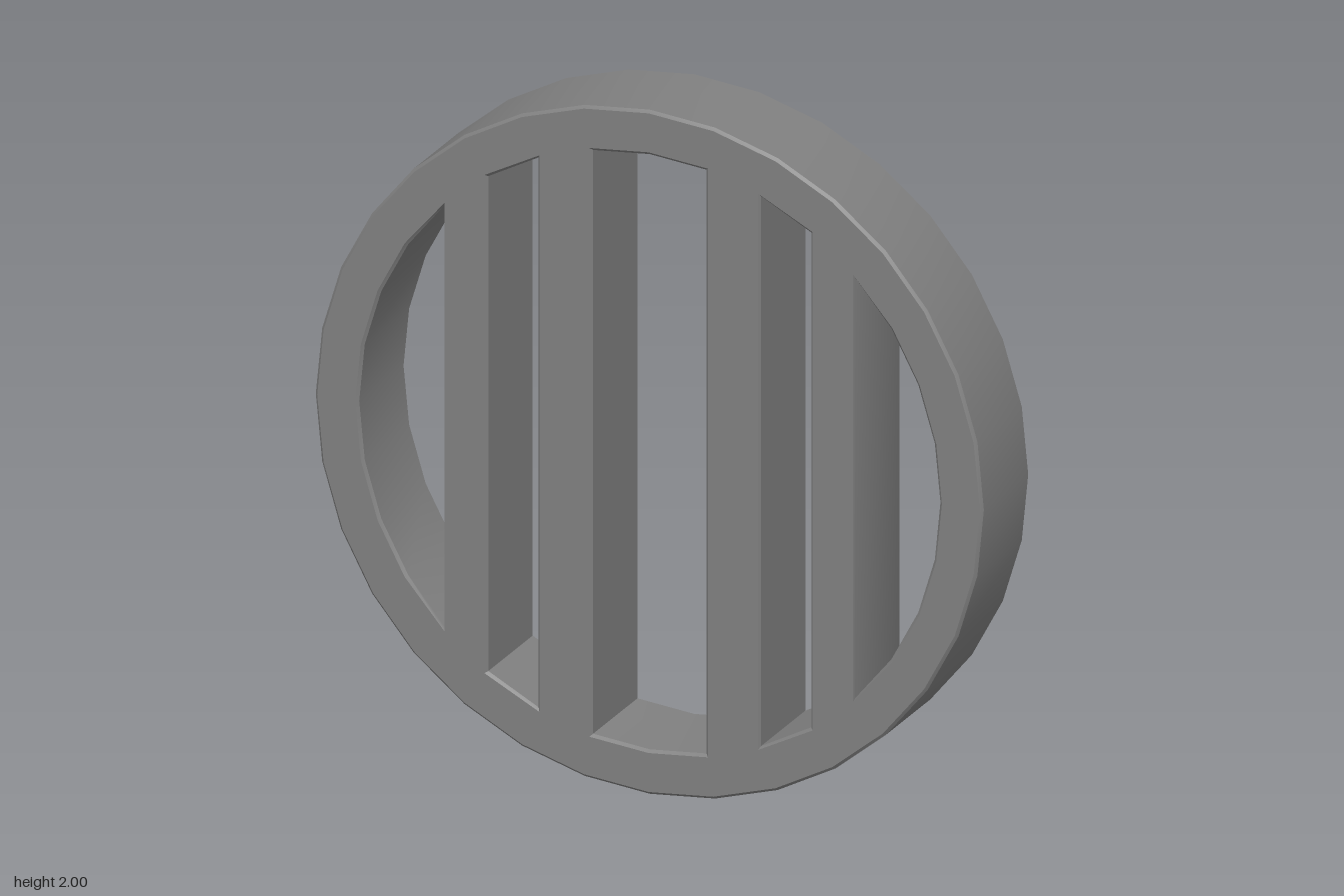
import * as THREE from 'three';
import { toCreasedNormals } from 'three/addons/utils/BufferGeometryUtils.js';

const SIDES = 32;
const OUTER = 1;
const INNER = 0.87;
const DEPTH = 0.3;
const BEVEL = 0.008;

// Corner k of a rim polygon, counted counter-clockwise from the top
function corner(k, radius) {
  const a = (k / SIDES) * Math.PI * 2;
  return new THREE.Vector2(-Math.sin(a) * radius, Math.cos(a) * radius);
}

// Opening bounded by one or more runs of inner rim corners [from, to]
function opening(...runs) {
  const points = [];
  for (const [from, to] of runs) {
    for (let k = from; k <= to; k++) points.push(corner(k, INNER));
  }
  return new THREE.Path(points);
}

export function createModel() {
  const group = new THREE.Group();
  group.name = 'barredRoundGrille';

  // Round rim outline
  const outline = [];
  for (let k = 0; k < SIDES; k++) outline.push(corner(k, OUTER));
  const shape = new THREE.Shape(outline);

  // Five openings; the material left between them forms the four upright bars
  shape.holes.push(
    opening([-1, 1], [15, 17]), // centre slot
    opening([2, 3], [13, 14]), // right inner slot (-x)
    opening([18, 19], [29, 30]), // left inner slot (+x)
    opening([4, 12]), // right outer segment
    opening([20, 28]) // left outer segment
  );

  // Solid plate with finely chamfered edges
  const geometry = new THREE.ExtrudeGeometry(shape, {
    depth: DEPTH - 2 * BEVEL,
    steps: 1,
    bevelEnabled: true,
    bevelThickness: BEVEL,
    bevelSize: BEVEL,
    bevelOffset: -BEVEL,
    bevelSegments: 1,
  });
  geometry.translate(0, OUTER, -(DEPTH / 2 - BEVEL));

  const grille = new THREE.Mesh(
    toCreasedNormals(geometry, THREE.MathUtils.degToRad(30)),
    new THREE.MeshStandardMaterial({ color: 0x808080 })
  );
  grille.name = 'rimWithBars';
  group.add(grille);

  return group;
}
